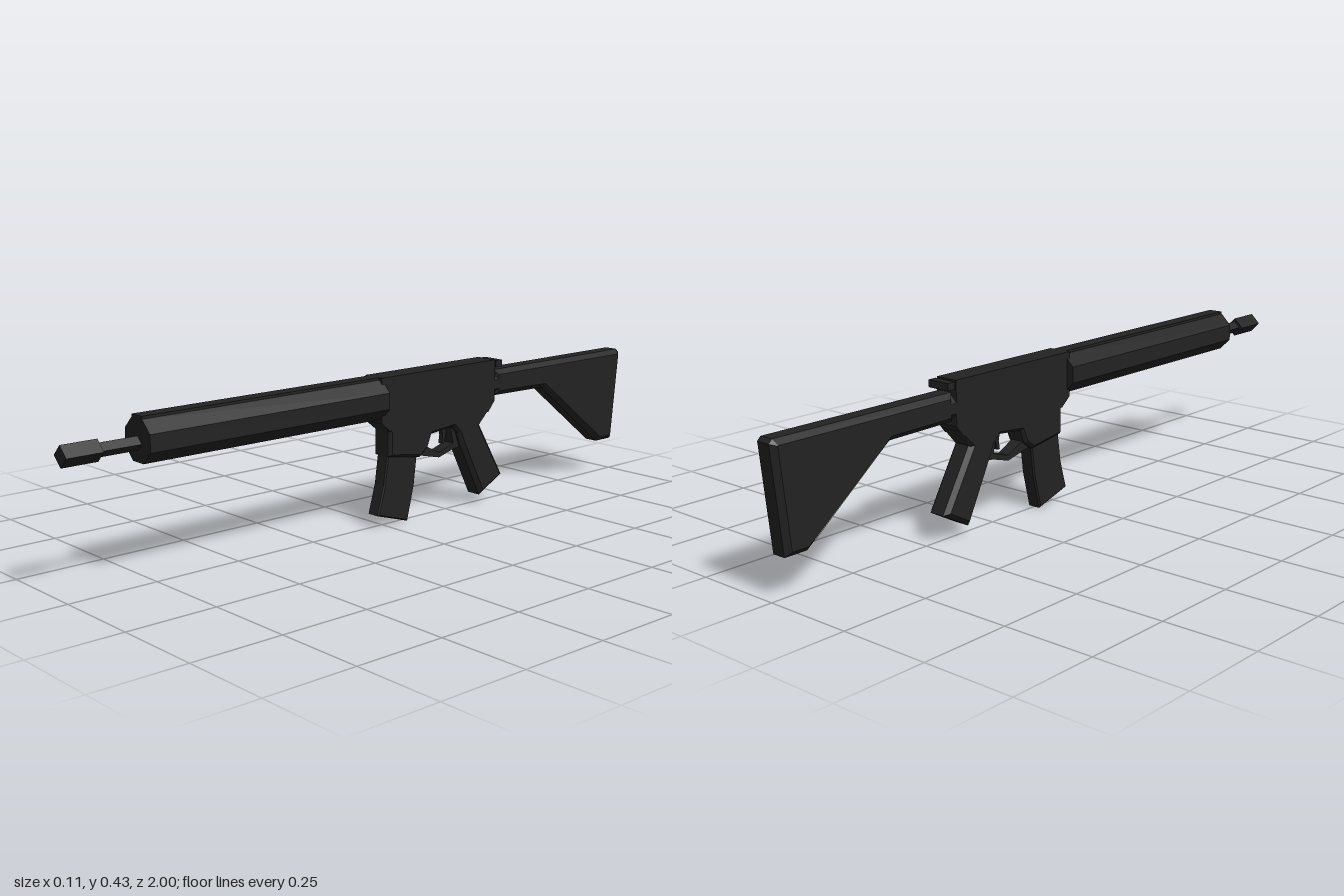
import * as THREE from 'three';

const black = new THREE.MeshStandardMaterial({ color: 0x222222, flatShading: true });
black.name = 'matte black';

// Side profile in [z, y] points, extruded symmetrically across x, with chamfered edges
function plate(name, points, width, bevel = 0, hole = null) {
  const toVec = (p) => new THREE.Vector2(p[0], p[1]);
  const shape = new THREE.Shape(points.map(toVec));
  if (hole) shape.holes.push(new THREE.Path(hole.map(toVec)));
  const depth = width - 2 * bevel;
  const geo = new THREE.ExtrudeGeometry(shape, {
    depth, bevelEnabled: bevel > 0, bevelThickness: bevel,
    bevelSize: bevel, bevelOffset: -bevel, bevelSegments: 1,
  });
  geo.translate(0, 0, -depth / 2);
  geo.rotateY(-Math.PI / 2);
  const mesh = new THREE.Mesh(geo, black);
  mesh.name = name;
  return mesh;
}

// Prism running along z, with flat or pointed sides upward
function prism(name, radius, sides, y, z0, z1, turn = 0) {
  const geo = new THREE.CylinderGeometry(radius, radius, z1 - z0, sides);
  geo.rotateY(turn);
  geo.rotateX(Math.PI / 2);
  geo.translate(0, y, (z0 + z1) / 2);
  const mesh = new THREE.Mesh(geo, black);
  mesh.name = name;
  return mesh;
}

function box(name, w, h, d, y, z) {
  const mesh = new THREE.Mesh(new THREE.BoxGeometry(w, h, d), black);
  mesh.name = name;
  mesh.position.set(0, y, z);
  return mesh;
}

export function createModel() {
  const model = new THREE.Group();
  model.name = 'model';
  const eighth = Math.PI / 8;

  // Front end
  model.add(prism('muzzle', 0.028, 4, 0.358, 0.9, 1));
  model.add(prism('barrel', 0.018, 4, 0.358, 0.7, 0.91));
  model.add(prism('handguard', 0.055 / Math.cos(eighth), 8, 0.365, 0.02, 0.79, eighth));
  model.add(box('topRail', 0.044, 0.03, 0.76, 0.412, 0.41));

  // Upper body and its rear handle
  model.add(plate('upperReceiver', [
    [0.03, 0.427], [0.03, 0.3], [0, 0.275], [-0.39, 0.275], [-0.415, 0.305], [-0.415, 0.427],
  ], 0.068));
  model.add(box('rearHandleStem', 0.03, 0.018, 0.05, 0.414, -0.405));
  model.add(box('rearHandle', 0.068, 0.02, 0.025, 0.414, -0.432));

  // Lower body with the magazine well
  model.add(plate('lowerReceiver', [
    [0.01, 0.29], [0, 0.27], [0, 0.2], [-0.12, 0.182], [-0.15, 0.205],
    [-0.165, 0.242], [-0.25, 0.25], [-0.3, 0.2], [-0.36, 0.24], [-0.405, 0.29],
  ], 0.068, 0.008));

  // Magazine with a slight forward curve
  model.add(plate('magazine', [
    [-0.004, 0.22], [0.01, 0.12], [0.034, 0.035], [-0.08, 0], [-0.105, 0.1], [-0.12, 0.22],
  ], 0.044, 0.004));

  // Trigger and its guard
  model.add(plate('triggerGuard', [
    [-0.11, 0.205], [-0.15, 0.207], [-0.205, 0.18], [-0.262, 0.198], [-0.25, 0.252],
    [-0.31, 0.25], [-0.3, 0.185], [-0.265, 0.182], [-0.205, 0.165], [-0.12, 0.185],
  ], 0.036));
  model.add(plate('trigger', [
    [-0.222, 0.26], [-0.23, 0.225], [-0.226, 0.2], [-0.235, 0.2], [-0.243, 0.225], [-0.245, 0.26],
  ], 0.014));

  // Rear grip
  model.add(plate('grip', [
    [-0.25, 0.28], [-0.28, 0.2], [-0.368, 0.026], [-0.46, 0.075], [-0.362, 0.242], [-0.395, 0.28],
  ], 0.068, 0.012));

  // Rear tube and open triangular stock
  model.add(prism('stockTube', 0.034 / Math.cos(eighth), 8, 0.354, -0.68, -0.41, eighth));
  model.add(plate('stock', [
    [-0.42, 0.395], [-0.42, 0.318], [-0.635, 0.315], [-0.905, 0.107],
    [-0.972, 0.107], [-1, 0.385], [-0.99, 0.395],
  ], 0.068, 0.014, [[-0.675, 0.308], [-0.945, 0.308], [-0.93, 0.153], [-0.895, 0.145]]));

  return model;
}
